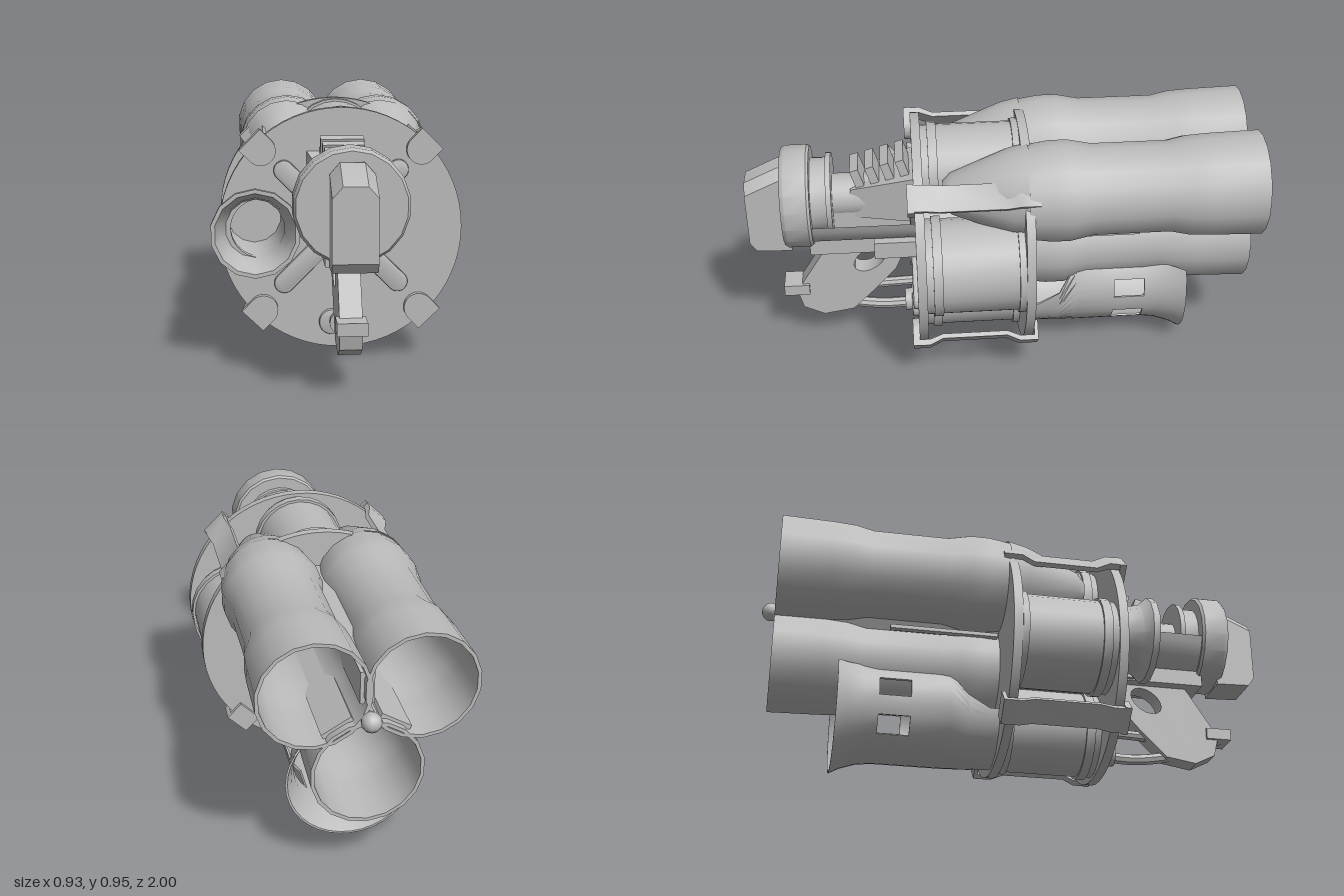
import * as THREE from 'three';
import { toCreasedNormals } from 'three/addons/utils/BufferGeometryUtils.js';
import { ConvexGeometry } from 'three/addons/geometries/ConvexGeometry.js';

const CX = 0.015, CY = 0.495; // drum axis

export function createModel() {
  const model = new THREE.Group();
  const grey = new THREE.MeshStandardMaterial({ color: 0xbcbcbc, side: THREE.DoubleSide });
  grey.name = 'plain grey';

  const add = (name, geo, x = 0, y = 0, z = 0, parent = model) => {
    const mesh = new THREE.Mesh(toCreasedNormals(geo, 0.6), grey);
    mesh.name = name;
    mesh.position.set(x, y, z);
    parent.add(mesh);
    return mesh;
  };
  // Turned part along z; profile is [radius, z] pairs
  const turned = (profile, sides = 24) =>
    new THREE.LatheGeometry(profile.map(p => new THREE.Vector2(...p)), sides).rotateX(Math.PI / 2);
  const rod = (r, z0, z1, sides = 24) => turned([[0, z0], [r, z0], [r, z1], [0, z1]], sides);
  // Side outline of [z, y] pairs, extruded across x and centred
  const sideSlab = (shape, width) =>
    new THREE.ExtrudeGeometry(shape, { depth: width, bevelEnabled: false, curveSegments: 8 })
      .translate(0, 0, -width / 2).rotateY(-Math.PI / 2);
  const poly = pts => new THREE.Shape(pts.map(p => new THREE.Vector2(...p)));
  const tube = (pts, r) => new THREE.TubeGeometry(
    new THREE.CatmullRomCurve3(pts.map(p => new THREE.Vector3(...p))), 20, r, 8);

  // Drum end plates, the front one pierced for the side horn
  const plate = new THREE.Shape().absarc(0, 0, 0.453, 0, Math.PI * 2);
  const rearPlate = new THREE.ExtrudeGeometry(plate, { depth: 0.035, bevelEnabled: false, curveSegments: 32 });
  add('rearPlate', rearPlate, CX, CY, -0.08);
  plate.holes.push(new THREE.Path().absarc(-0.3, 0.005, 0.11, 0, Math.PI * 2, true));
  add('frontPlate', new THREE.ExtrudeGeometry(plate,
    { depth: 0.035, bevelEnabled: false, curveSegments: 32 }), CX, CY, 0.325);

  // Chambers between the plates
  const chambers = [[0.275, 0.48, 0.182], [-0.25, 0.48, 0.182], [0.02, 0.77, 0.165], [0.02, 0.22, 0.165]];
  for (const [x, y, r] of chambers) {
    add('chamber', turned([[r, -0.06], [r, 0.33]]), x, y);
    for (const [z0, z1] of [[-0.045, -0.02], [0.265, 0.3]]) {
      add('chamberCollar', turned([[r, z0], [r + 0.01, z0], [r + 0.01, z1], [r, z1]]), x, y);
    }
  }
  // Hub with a gap left for the horn bore
  add('drumHub', rod(0.16, -0.06, 0.33), CX + 0.01, CY);

  // Side horn
  add('sideHorn', turned([[0.115, 0.2], [0.123, 0.36], [0.135, 0.42], [0.165, 0.45], [0.165, 0.475],
    [0.15, 0.475], [0.125, 0.42], [0.11, 0.36], [0.105, 0.1], [0, 0.1]], 14), -0.305, 0.5);

  // Corner straps folded over both plates
  const strapSide = poly([[0.455, 0.385], [0.478, 0.385], [0.478, 0.32], [0.455, 0.27], [0.455, 0.02],
    [0.478, -0.03], [0.478, -0.1], [0.4, -0.1], [0.4, -0.085], [0.458, -0.085],
    [0.458, -0.03], [0.437, 0.02], [0.437, 0.27], [0.455, 0.32]]);
  const tab = new THREE.Shape();
  tab.moveTo(0.478, -0.055);
  tab.lineTo(0.478, 0.055);
  tab.lineTo(0.42, 0.055);
  tab.absarc(0.42, 0, 0.055, Math.PI / 2, Math.PI * 1.5, false);
  for (const a of [45, 135, 226, 314]) {
    const strap = new THREE.Group();
    strap.name = 'cornerStrap';
    strap.position.set(CX, CY, 0);
    strap.rotation.z = THREE.MathUtils.degToRad(a);
    add('strapBand', new THREE.ExtrudeGeometry(strapSide, { depth: 0.1, bevelEnabled: false })
      .translate(0, 0, -0.05).rotateX(Math.PI / 2), 0, 0, 0, strap);
    add('strapTab', new THREE.ExtrudeGeometry(tab, { depth: 0.025, bevelEnabled: false }), 0, 0, 0.36, strap);
    model.add(strap);
  }

  // Three rear barrels
  const barrels = [[-0.165, 0.75], [0.205, 0.75], [0.02, 0.435]];
  const outer = [[0.2, -0.95], [0.195, -0.75], [0.19, -0.67], [0.175, -0.6], [0.175, -0.31],
    [0.193, -0.22], [0.193, -0.15], [0.18, -0.06]];
  const bore = outer.map(([r, z]) => [r - 0.013, z]).reverse();
  barrels.forEach(([x, y], i) => {
    add('barrel', turned([[0, -0.06], ...bore, ...outer], 18), x, y);
    const [nx, ny] = barrels[(i + 1) % 3];
    const web = add('barrelWeb', new THREE.BoxGeometry(0.05, 0.12, 0.84), (x + nx) / 2, (y + ny) / 2, -0.5);
    web.rotation.z = Math.atan2(ny - y, nx - x);
  });
  add('barrelCore', rod(0.03, -0.95, -0.06, 12), 0.015, 0.645);
  add('coreKnob', new THREE.SphereGeometry(0.036, 14, 10), 0.015, 0.642, -0.964);
  for (const s of [-1, 1]) {
    // Tapered barrel roots reaching into the drum
    add('barrelRoot', turned([[0.18, -0.07], [0.165, 0], [0.08, 0.22], [0.05, 0.25], [0, 0.25]], 18),
      CX + s * 0.185, 0.755);
    add('barrelRail', new THREE.BoxGeometry(0.025, 0.015, 0.42), CX + s * 0.17, 0.538, -0.3);
  }

  // Flared lower cradle: an open arc with slots, sampled on rows [z, radius, half angle in degrees]
  const rows = [[-0.06, 0.185, 84], [-0.12, 0.19, 84], [-0.2, 0.193, 98], [-0.27, 0.195, 134], [-0.42, 0.195, 134],
    [-0.54, 0.195, 134], [-0.6, 0.202, 130], [-0.66, 0.222, 124], [-0.7, 0.243, 120]];
  const cols = 24, wall = 0.008, pos = [], idx = [];
  for (const inset of [0, wall]) for (const [z, r, half] of rows) for (let j = 0; j <= cols; j++) {
    const a = THREE.MathUtils.degToRad(half) * (j / cols * 2 - 1);
    pos.push(Math.sin(a) * (r - inset), -Math.cos(a) * (r - inset), z);
  }
  const w = cols + 1, layer = rows.length * w;
  const quad = (a, b, c, d) => idx.push(a, b, c, a, c, d);
  const solid = (i, j) => {
    const k = j < cols / 2 ? cols / 2 - 1 - j : j - cols / 2;
    const slot = i === 4 && [4, 5, 8, 9].includes(k);
    return i >= 0 && j >= 0 && i < rows.length - 1 && j < cols && !slot;
  };
  for (let i = 0; i < rows.length - 1; i++) for (let j = 0; j < cols; j++) {
    if (!solid(i, j)) continue;
    const a = i * w + j, b = a + 1, c = b + w, d = a + w;
    quad(a, d, c, b);
    quad(a + layer, b + layer, c + layer, d + layer);
    const edges = [[i - 1, j, a, b], [i, j + 1, b, c], [i + 1, j, c, d], [i, j - 1, d, a]];
    for (const [ni, nj, p, q] of edges) if (!solid(ni, nj)) quad(p, q, q + layer, p + layer);
  }
  const cradle = new THREE.BufferGeometry();
  cradle.setAttribute('position', new THREE.Float32BufferAttribute(pos, 3));
  cradle.setIndex(idx);
  add('lowerCradle', cradle, 0.018, 0.246);

  // Raised ribs and foot pad on the front plate
  const capsule = (len, r) => {
    const s = new THREE.Shape();
    s.absarc(len, 0, r, -Math.PI / 2, Math.PI / 2, false);
    s.absarc(0, 0, r, Math.PI / 2, Math.PI * 1.5, false);
    return new THREE.ExtrudeGeometry(s, { depth: 0.012, bevelThickness: 0.006, bevelSize: 0.006, bevelSegments: 2 });
  };
  for (const a of [45, 135, 225, 315]) {
    add('plateRib', capsule(0.3, 0.032), CX, CY + 0.01, 0.36).rotation.z = THREE.MathUtils.degToRad(a);
  }
  add('footPad', capsule(0.07, 0.042), -0.02, 0.142, 0.365);

  // Front body: open trough, inner tube, rings and muzzle
  const trough = new THREE.CylinderGeometry(0.183, 0.183, 0.42, 16, 1, true, -1.33, 2.66).rotateX(Math.PI / 2);
  add('bodyTrough', trough, CX, 0.665, 0.56);
  add('innerTube', rod(0.085, 0.35, 0.78, 16), CX, 0.66);
  add('bodyBlock', new THREE.BoxGeometry(0.15, 0.16, 0.42), CX, 0.56, 0.56);
  add('backRing', rod(0.16, 0.67, 0.69, 20), CX, 0.668);
  add('middleRing', rod(0.145, 0.69, 0.76, 20), CX, 0.665);
  add('muzzleRing', turned([[0, 0.75], [0.192, 0.75], [0.2, 0.76], [0.2, 0.845], [0.19, 0.86], [0, 0.86]], 18), CX, 0.663);
  const corners = [];
  for (const s of [-1, 1]) {
    for (const [x, y, z] of [[0.077, 0.46, 0.84], [0.077, 0.775, 0.84], [0.042, 0.815, 0.84], [0.077, 0.775, 0.87],
      [0.042, 0.815, 0.87], [0.077, 0.715, 1], [0.042, 0.755, 1], [0.077, 0.5, 1], [0.077, 0.465, 0.975]]) {
      corners.push(new THREE.Vector3(CX + s * x, y, z));
    }
  }
  add('muzzleBlock', new ConvexGeometry(corners));

  // Saddle with slanted cooling fins
  const saddle = sideSlab(poly([[0.35, 0.6], [0.6, 0.6], [0.6, 0.72], [0.35, 0.79]]), 0.26);
  const sp = saddle.attributes.position;
  for (let i = 0; i < sp.count; i++) sp.setX(i, sp.getX(i) * (sp.getZ(i) > 0.5 ? 0.55 : 1));
  add('finSaddle', saddle, CX);
  for (let i = 0; i < 4; i++) {
    add('coolingFin', new THREE.BoxGeometry(0.16 - i * 0.008, 0.09, 0.033), CX, 0.8 - i * 0.014, 0.395 + i * 0.058).rotation.x = 0.3;
  }

  // Grip with trigger opening
  const grip = poly([[0.7, 0.46], [0.84, 0.24], [0.82, 0.16], [0.74, 0.12], [0.62, 0.14], [0.52, 0.24],
    [0.44, 0.33], [0.4, 0.42], [0.4, 0.47]]);
  grip.holes.push(new THREE.Path().absellipse(0.545, 0.375, 0.07, 0.045, 0, Math.PI * 2, true, -0.6));
  add('grip', sideSlab(grip, 0.08), CX);
  add('gripMount', new THREE.BoxGeometry(0.17, 0.07, 0.42), CX, 0.475, 0.56);
  add('sideMount', new THREE.BoxGeometry(0.24, 0.07, 0.16), CX + 0.02, 0.48, 0.44);
  add('gripCollar', new THREE.BoxGeometry(0.105, 0.045, 0.1), CX, 0.25, 0.84);
  add('gripBrace', tube([[CX, 0.25, 0.87], [CX, 0.22, 0.78], [CX, 0.16, 0.65], [CX, 0.132, 0.5], [CX, 0.135, 0.37]], 0.022));
  add('braceSocket', rod(0.045, 0.36, 0.41, 16), CX, 0.145);
  add('gripStay', tube([[CX, 0.23, 0.6], [CX, 0.235, 0.5], [CX, 0.24, 0.36]], 0.02));

  return model;
}
